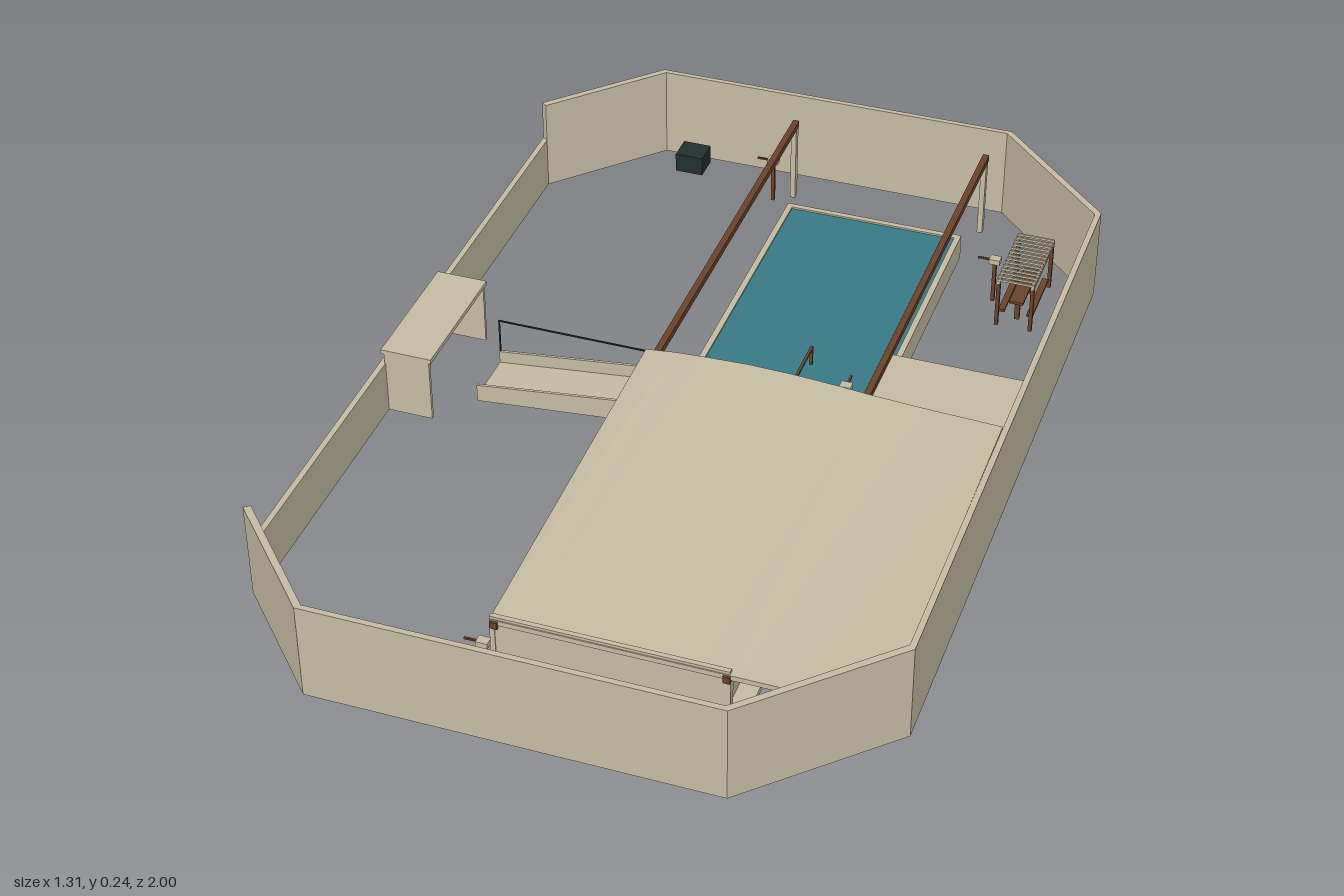
import * as THREE from 'three';

const mat = (name, color, extra = {}) => {
  const m = new THREE.MeshStandardMaterial({ color, ...extra });
  m.name = name;
  return m;
};

export function createModel() {
  const model = new THREE.Group();
  model.name = 'walledPoolCompound';
  const stone = mat('stone', 0xc6bca3);
  const stoneSheet = mat('stoneSheet', 0xc6bca3, { side: THREE.DoubleSide });
  const water = mat('water', 0x377985);
  const wood = mat('wood', 0x6b4228);
  const dark = mat('darkMetal', 0x22302f);

  const add = (name, geo, m, parent = model) => {
    const mesh = new THREE.Mesh(geo, m);
    mesh.name = name;
    parent.add(mesh);
    return mesh;
  };
  // Box given by its limits on each axis
  const box = (name, m, x0, x1, y0, y1, z0, z1, parent) => {
    const g = new THREE.BoxGeometry(x1 - x0, y1 - y0, z1 - z0);
    g.translate((x0 + x1) / 2, (y0 + y1) / 2, (z0 + z1) / 2);
    return add(name, g, m, parent);
  };
  // Plan polygon of [x, z] points raised from y0 to y1
  const prism = (name, m, pts, y0, y1) => {
    const s = new THREE.Shape(pts.map(([x, z]) => new THREE.Vector2(x, -z)));
    const g = new THREE.ExtrudeGeometry(s, { depth: y1 - y0, bevelEnabled: false });
    g.rotateX(-Math.PI / 2);
    g.translate(0, y0, 0);
    return add(name, g, m);
  };

  // Perimeter wall with mitred corners, lower on the gate side
  const plan = [[-0.44, -1], [0.39, -1], [0.655, -0.74], [0.655, 0.74],
    [0.39, 1], [-0.44, 1], [-0.655, 0.77], [-0.655, -0.77]];
  plan.forEach((a, i) => {
    const b = plan[(i + 1) % plan.length];
    const inset = ([x, z]) => [x * 0.981, z * 0.988];
    prism('perimeterWall', stone, [a, b, inset(b), inset(a)], 0, i === 6 ? 0.12 : 0.213);
  });

  // Outdoor pool
  const pool = (name, x0, x1, z0, z1, h) => {
    const g = new THREE.Group();
    g.name = name;
    model.add(g);
    box('poolBase', stone, x0, x1, 0, h - 0.012, z0, z1, g);
    box('poolWater', water, x0 + 0.012, x1 - 0.012, h - 0.012, h - 0.004, z0 + 0.012, z1 - 0.012, g);
    for (const [a, b] of [[x0, x0 + 0.013], [x1 - 0.013, x1]])
      box('poolRim', stone, a, b, h - 0.012, h, z0, z1, g);
    for (const [a, b] of [[z0, z0 + 0.013], [z1 - 0.013, z1]])
      box('poolRim', stone, x0, x1, h - 0.012, h, a, b, g);
  };
  pool('outdoorPool', -0.065, 0.34, -0.78, -0.13, 0.06);
  pool('indoorPool', -0.05, 0.32, 0.12, 0.8, 0.05);
  pool('sidePool', 0.42, 0.58, -0.1, 0.1, 0.05);

  // Floor, raised deck and steps to the pool
  box('hallFloor', stone, -0.1, 0.36, 0, 0.012, 0.06, 0.9);
  box('deck', stone, -0.09, 0.36, 0, 0.055, -0.1, 0.06);
  box('poolStep', stone, 0.04, 0.16, 0, 0.07, -0.145, -0.1);
  box('stepRail', wood, 0.162, 0.168, 0.095, 0.1, -0.22, -0.1);
  for (const z of [-0.218, -0.102]) box('railPost', wood, 0.162, 0.168, 0.05, 0.1, z - 0.003, z + 0.003);

  // Entrance ramp with side parapets and rail
  const rampSide = (h0, h1) => {
    const s = new THREE.Shape([[-0.48, 0], [-0.1, 0.035], [-0.1, h1], [-0.48, h0]]
      .map(([x, y]) => new THREE.Vector2(x, y)));
    return s;
  };
  const slab = (name, shape, z0, z1) => {
    const g = new THREE.ExtrudeGeometry(shape, { depth: z1 - z0, bevelEnabled: false });
    g.translate(0, 0, z0);
    add(name, g, stone);
  };
  slab('ramp', rampSide(0.012, 0.055), -0.07, 0.062);
  slab('rampParapet', rampSide(0.04, 0.085), -0.07, -0.064);
  slab('rampParapet', rampSide(0.04, 0.085), 0.056, 0.062);
  box('rampRail', dark, -0.48, -0.1, 0.117, 0.12, -0.069, -0.066);
  box('rampRailPost', dark, -0.48, -0.477, 0.03, 0.12, -0.069, -0.066);

  // Gate shelter
  box('gateRoof', stone, -0.652, -0.54, 0.142, 0.152, -0.15, 0.15);
  for (const z of [-0.15, 0.142]) box('gateSide', stone, -0.645, -0.545, 0, 0.142, z, z + 0.008);
  box('gateLever', wood, -0.598, -0.592, 0.1, 0.106, -0.19, -0.15);

  // Hall roof: arched at the back, flattening toward the front
  const arch = [[-0.1, 0.227], [-0.04, 0.234], [0.03, 0.238], [0.12, 0.241], [0.21, 0.239],
    [0.3, 0.234], [0.37, 0.228], [0.48, 0.222], [0.642, 0.216]];
  const roofY = (h, z) => 0.2 + (h - 0.2) * (0.9 - z) / 0.83;
  const pos = [], idx = [];
  arch.forEach(([x, h]) => {
    const zEnd = x > 0.48 ? 0.9 - (x - 0.48) * 1.05 : 0.9;
    const yB = roofY(h, 0.065), yF = roofY(h, zEnd);
    pos.push(x, yB, 0.065, x, yF, zEnd, x, yF - 0.011, zEnd, x, yB - 0.011, 0.065);
  });
  for (let i = 0; i < arch.length - 1; i++)
    for (let j = 0; j < 4; j++) {
      const a = i * 4 + j, b = i * 4 + (j + 1) % 4;
      idx.push(a, b, a + 4, b, b + 4, a + 4);
    }
  const last = (arch.length - 1) * 4;
  idx.push(0, 3, 2, 0, 2, 1, last, last + 1, last + 2, last, last + 2, last + 3);
  const roof = new THREE.BufferGeometry();
  roof.setAttribute('position', new THREE.Float32BufferAttribute(pos, 3));
  roof.setIndex(idx);
  const flatRoof = roof.toNonIndexed();
  flatRoof.computeVertexNormals();
  add('hallRoof', flatRoof, stoneSheet);

  // Hall walls
  const sideShape = new THREE.Shape([[-0.065, 0], [-0.9, 0], [-0.9, 0.195], [-0.065, 0.222]]
    .map(([z, y]) => new THREE.Vector2(z, y)));
  const side = new THREE.ExtrudeGeometry(sideShape, { depth: 0.01, bevelEnabled: false });
  side.rotateY(Math.PI / 2);
  side.translate(-0.1, 0, 0);
  add('hallSideWall', side, stone);
  box('hallFrontWall', stone, -0.1, 0.36, 0, 0.206, 0.888, 0.898);

  // Side room with flat roof and glazed panel
  box('sideRoomRoof', stone, 0.345, 0.64, 0.154, 0.164, -0.163, 0.065);
  box('sideRoomWall', stone, 0.628, 0.638, 0, 0.155, -0.16, 0.7);
  box('sideRoomGlass', water, 0.62, 0.628, 0.03, 0.14, -0.14, -0.06);

  // Long timber beams on posts
  for (const x of [-0.09, 0.355]) {
    box('beam', wood, x - 0.007, x + 0.007, 0.183, 0.198, -0.91, 0.905);
    for (const z of [-0.9, 0.08, 0.89])
      box('beamPost', stone, x - 0.006, x + 0.006, 0, 0.183, z - 0.008, z + 0.008);
  }

  // Small posts with a box head and an arm
  const stand = (x, z, y, dx, dz) => {
    const g = new THREE.Group();
    g.name = 'standPost';
    g.position.set(x, y, z);
    model.add(g);
    box('post', wood, -0.004, 0.004, 0, 0.1, -0.004, 0.004, g);
    box('head', stone, -0.012, 0.012, 0.1, 0.112, -0.01, 0.01, g);
    const arm = box('arm', wood, -0.014, 0.014, 0.104, 0.108, -0.002, 0.002, g);
    arm.position.set(dx * 0.024, 0, dz * 0.024);
    if (dz) arm.rotation.y = Math.PI / 2;
  };
  stand(-0.13, -0.87, 0, -1, 0);
  stand(-0.13, 0.865, 0, -1, 0);
  stand(0.45, -0.645, 0, -1, 0);
  stand(-0.03, 0.02, 0.055, 0, 1);
  stand(0.295, -0.03, 0.055, 0, -1);

  // Slatted pergola with table and benches
  for (const x of [0.48, 0.555]) {
    box('pergolaRail', stone, x - 0.004, x + 0.004, 0.11, 0.118, -0.742, -0.552);
    for (const z of [-0.735, -0.56]) box('pergolaPost', wood, x - 0.004, x + 0.004, 0, 0.11, z - 0.004, z + 0.004);
  }
  for (let i = 0; i < 14; i++) {
    const z = -0.738 + i * 0.0141;
    box('pergolaSlat', stone, 0.476, 0.559, 0.118, 0.123, z - 0.002, z + 0.002);
  }
  box('table', wood, 0.502, 0.533, 0.05, 0.056, -0.72, -0.575);
  for (const z of [-0.7, -0.595]) box('tableLeg', wood, 0.512, 0.523, 0, 0.05, z - 0.004, z + 0.004);
  for (const x of [0.486, 0.549]) box('bench', wood, x - 0.007, x + 0.007, 0.024, 0.03, -0.72, -0.575);

  // Dark utility box and stepped platform in the corners
  box('utilityBox', dark, -0.38, -0.315, 0.005, 0.05, -0.965, -0.905);
  box('platformLower', stone, -0.38, -0.318, 0, 0.035, 0.878, 0.975);
  box('platformUpper', stone, -0.38, -0.318, 0.035, 0.07, 0.925, 0.975);

  return model;
}
